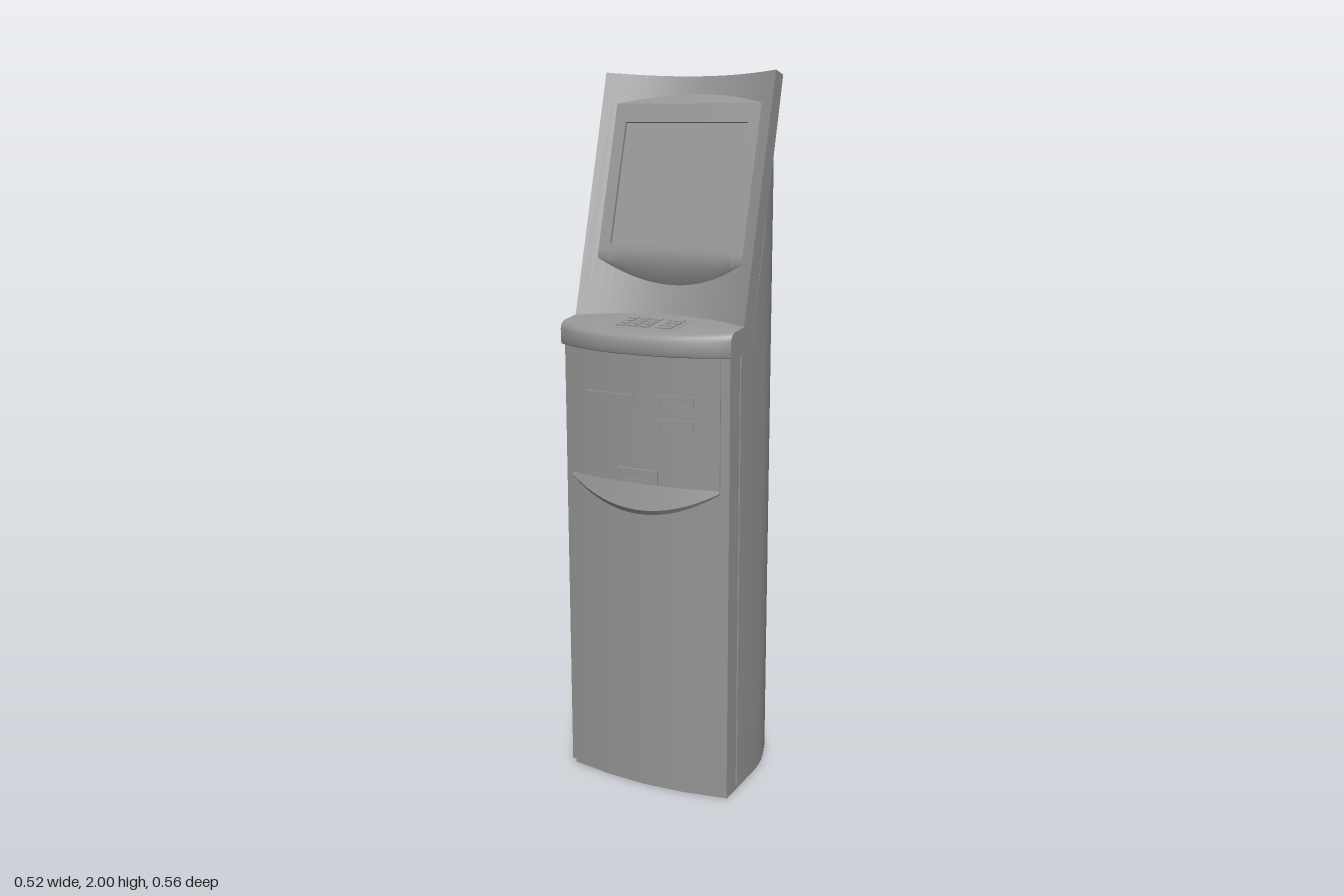
import * as THREE from 'three';
import { toCreasedNormals } from 'three/addons/utils/BufferGeometryUtils.js';
import { RoundedBoxGeometry } from 'three/addons/geometries/RoundedBoxGeometry.js';

const material = new THREE.MeshStandardMaterial({ color: 0x969696 });
const V = (x, y, z) => new THREE.Vector3(x, y, z);

function add(parent, name, geometry, x = 0, y = 0, z = 0) {
  const mesh = new THREE.Mesh(geometry, material);
  mesh.name = name;
  mesh.position.set(x, y, z);
  parent.add(mesh);
  return mesh;
}

// Closed solid through matching rings; flat(p) projects the end rings to 2D for the caps
function loft(rings, flat) {
  const n = rings[0].length, points = rings.flat(), index = [];
  for (let i = 0; i < rings.length - 1; i++) {
    for (let j = 0; j < n; j++) {
      const a = i * n + j, b = i * n + (j + 1) % n;
      index.push(a, b, b + n, a, b + n, a + n);
    }
  }
  [0, rings.length - 1].forEach((r) => {
    const loop = rings[r].map(flat);
    const sign = THREE.ShapeUtils.area(loop) * (r ? 1 : -1);
    for (const t of THREE.ShapeUtils.triangulateShape(loop.slice(), [])) {
      const same = THREE.ShapeUtils.area(t.map((k) => loop[k])) * sign > 0;
      const [a, b, c] = same ? t : [t[0], t[2], t[1]];
      index.push(r * n + a, r * n + b, r * n + c);
    }
  });
  let volume = 0;
  for (let i = 0; i < index.length; i += 3) {
    const [a, b, c] = [0, 1, 2].map((k) => points[index[i + k]]);
    volume += a.dot(b.clone().cross(c));
  }
  if (volume < 0) index.reverse();
  const geometry = new THREE.BufferGeometry().setFromPoints(points);
  geometry.setIndex(index);
  return toCreasedNormals(geometry, 0.8);
}

// Loft across the width: profile(x) gives [z, y] points
function loftX(x0, x1, steps, profile) {
  const rings = [];
  for (let i = 0; i <= steps; i++) {
    const x = x0 + (x1 - x0) * i / steps;
    rings.push(profile(x).map(([z, y]) => V(x, y, z)));
  }
  return loft(rings, (p) => new THREE.Vector2(p.z, p.y));
}

const bow = (x, half) => 1 - (x / half) ** 2;
const doorZ = (x) => 0.2 + 0.03 * bow(x, 0.25);
const doorTurn = (x) => Math.atan(0.06 * x / 0.0625);
const SLOPE = 0.29;

// Thin rectangular rim with a recessed flap
function slot(parent, name, x, y, z, w, h) {
  const group = new THREE.Group();
  group.name = name;
  const corners = (a, b) => [[-a, -b], [a, -b], [a, b], [-a, b]].map(([p, q]) => new THREE.Vector2(p, q));
  const a = w / 2 - 0.007, b = h / 2 - 0.007;
  const rim = new THREE.Shape(corners(w / 2, h / 2));
  rim.holes.push(new THREE.Path(corners(a, b).reverse()));
  add(group, 'slotRim', new THREE.ExtrudeGeometry(rim, { depth: 0.014, bevelEnabled: false }), 0, 0, -0.01);
  add(group, 'slotFlap', new THREE.BoxGeometry(2 * a, 2 * b, 0.007), 0, 0, -0.003);
  group.position.set(x, y, z);
  group.rotation.y = doorTurn(x);
  parent.add(group);
}

export function createModel() {
  const model = new THREE.Group();
  model.name = 'kiosk';

  // Rounded cabinet with a slanted top and a front cut back behind the hood
  const half = [[0.252, 0.13], [0.252, -0.02], [0.244, -0.075], [0.222, -0.14],
    [0.195, -0.183], [0.16, -0.225], [0.115, -0.252], [0.065, -0.27]];
  const plan = [...half, [0, -0.278], ...half.slice().reverse().map(([x, z]) => [-x, z])];
  const ring = (yOf, zMax = 1, xMax = 1) => plan.map(([x, z]) =>
    V(Math.sign(x) * Math.min(Math.abs(x), xMax), yOf(Math.min(z, zMax)), Math.min(z, zMax)));
  const planView = (p) => new THREE.Vector2(p.x, p.z);
  add(model, 'cabinet', loft([
    ring(() => 0.015), ring(() => 1.265), ring(() => 1.27, 0.068), ring(() => 1.587, -0.02),
    ring((z) => 1.785 + 0.25 * (z + 0.075), -0.075, 0.244),
  ], planView));

  // Base, reaching under the door
  const base = plan.map(([x, z]) => [x * 0.985, z > 0.1 ? 0.188 : z * 0.99]);
  base.push([-0.12, 0.21], [0, 0.218], [0.12, 0.21]);
  add(model, 'base', loft([0, 0.02].map((y) => base.map(([x, z]) => V(x, y, z))), planView));

  // Bowed door, set off from the cabinet by a narrow groove
  add(model, 'doorGroove', new THREE.BoxGeometry(0.488, 1.245, 0.04), 0, 0.645, 0.135);
  add(model, 'door', loftX(-0.252, 0.252, 12, (x) =>
    [[0.138, 0.018], [doorZ(x), 0.018], [doorZ(x), 1.27], [0.138, 1.27]]));

  // Service fascia with curved lower edge and projecting lip
  const lipY = (x) => 0.82 + 0.075 * (x / 0.23) ** 2;
  add(model, 'fascia', loftX(-0.228, 0.228, 12, (x) => {
    const z = doorZ(x);
    return [[z - 0.01, lipY(x)], [z + 0.004, lipY(x)], [z + 0.004, 1.27], [z - 0.01, 1.27]];
  }));
  add(model, 'fasciaLip', loftX(-0.228, 0.228, 16, (x) => {
    const z = doorZ(x), y = lipY(x), k = 0.3 + 0.7 * bow(x, 0.228);
    return [[z - 0.01, y], [z + 0.012 * k, y], [z + 0.021 * k, y + 0.014 * k],
      [z + 0.002, 0.912], [z - 0.01, 0.912]];
  }));
  slot(model, 'upperSlot', 0.107, 1.14, doorZ(0.107) + 0.004, 0.1, 0.032);
  slot(model, 'lowerSlot', 0.107, 1.075, doorZ(0.107) + 0.004, 0.1, 0.032);
  slot(model, 'receiptSlot', -0.005, 0.928, doorZ(0) + 0.007, 0.122, 0.036);
  add(model, 'thinSlot', new THREE.BoxGeometry(0.15, 0.006, 0.012), -0.095, 1.146, doorZ(0.095) + 0.003)
    .rotation.y = doorTurn(-0.095);

  // Hood: projecting shelf with rounded rim and tall concave leaning back panel
  const W = 0.2585;
  const shelfY = (z) => 1.322 + (0.277 - z) * 0.11;
  add(model, 'hood', loftX(-W, W, 20, (x) => {
    const c = bow(x, W), d = 0.07 * c, z = 0.21 + 0.067 * (1 - Math.abs(x / W) ** 2.4);
    const foot = 0.13 - d, rim = shelfY(z);
    return [[z - 0.012, 1.265], [z - 0.003, 1.268], [z, 1.277], [z, rim - 0.018],
      [z - 0.005, rim - 0.006], [z - 0.018, shelfY(z - 0.018)],
      [foot, shelfY(foot)], [-0.06 - d, 2 - 0.012 * c], [-0.11 - d, 1.988 - 0.012 * c], [0.085 - d, 1.265]];
  }));

  // Screen surround: flat face standing in the concave panel, with sloped ends
  const screen = new THREE.Group();
  screen.name = 'screenUnit';
  screen.position.set(0, 1.5, 0.13 - SLOPE * 0.155);
  screen.rotation.x = -Math.atan(SLOPE);
  model.add(screen);
  const F = 0.019, H = 0.437, low = 0.042, high = 0.385;
  const depth = (x) => Math.max(0.07 * bow(x, W) + 0.002, F + 0.001);
  const lowerEnd = (x) => {
    const drop = depth(x) - F;
    return [[-depth(x), -drop * 1.2], [-F - drop * 0.12, -drop * 0.25], [-F, 0.025]];
  };
  const top = (x) => H + (depth(x) - F) * 0.8;
  for (const s of [-1, 1]) {
    add(screen, 'surroundSide', loftX(s * 0.187, s * 0.224, 4, (x) =>
      [...lowerEnd(x), [-F, H], [-depth(x), top(x)]]));
  }
  add(screen, 'surroundBottom', loftX(-0.187, 0.187, 16, (x) =>
    [...lowerEnd(x), [-F, low], [-depth(x), low]]));
  add(screen, 'surroundTop', loftX(-0.187, 0.187, 16, (x) =>
    [[-depth(x), high], [-F, high], [-F, H], [-depth(x), top(x)]]));
  add(screen, 'screen', new THREE.BoxGeometry(0.374, high - low, 0.008), 0, (low + high) / 2, -0.032);

  // Keypad, almost flush with the sloping shelf
  const keypad = new THREE.Group();
  keypad.name = 'keypad';
  keypad.position.set(0.002, shelfY(0.169) - 0.002, 0.169);
  keypad.rotation.x = Math.atan(0.11);
  model.add(keypad);
  add(keypad, 'keypadPlate', new RoundedBoxGeometry(0.188, 0.01, 0.11, 2, 0.004));
  for (let row = 0; row < 4; row++) {
    [[-0.07, 0.025], [-0.034, 0.025], [0.002, 0.025], [0.061, 0.044]].forEach(([x, w]) =>
      add(keypad, 'key', new THREE.BoxGeometry(w, 0.008, 0.017), x, 0.004, -0.037 + row * 0.025));
  }
  return model;
}
